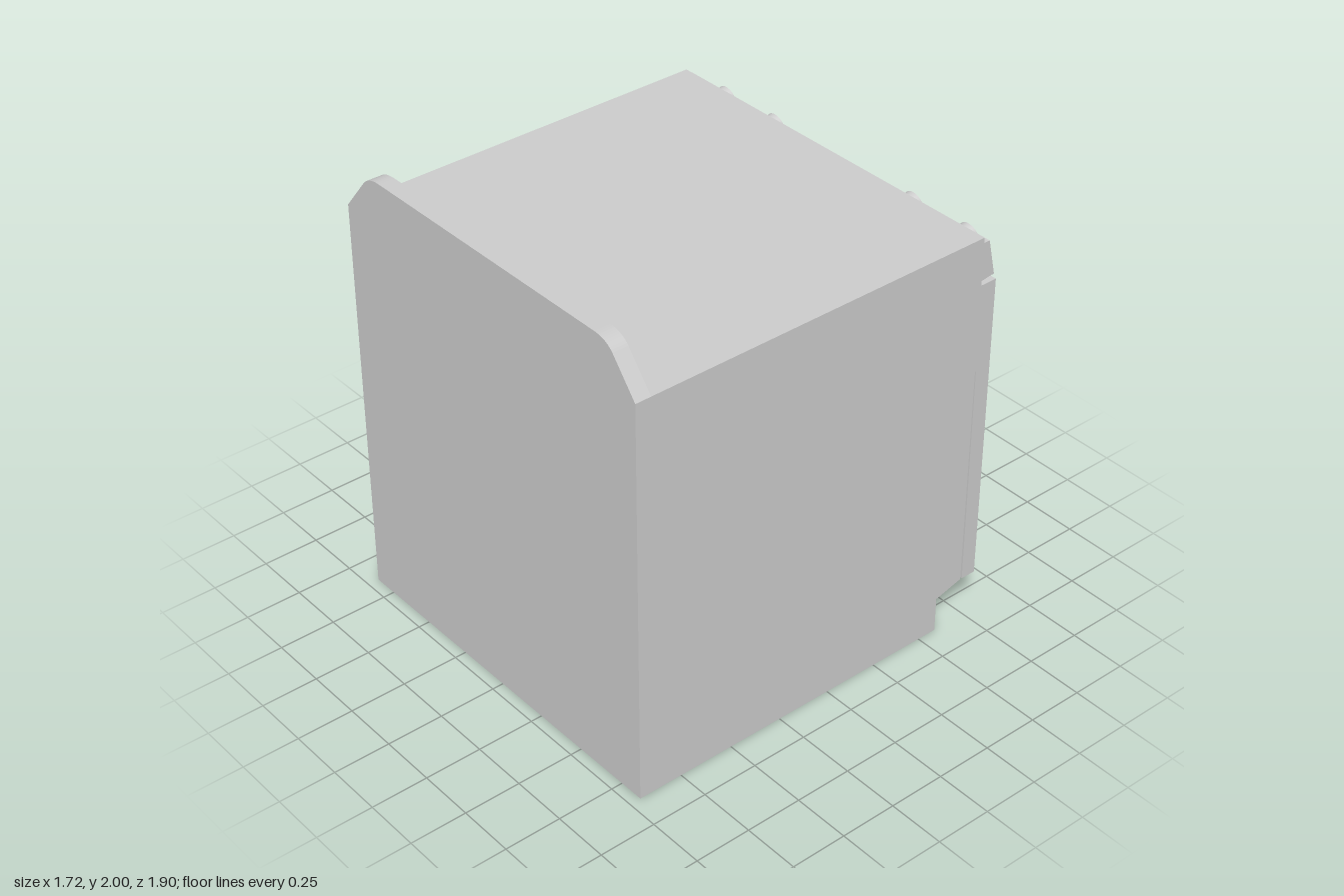
import * as THREE from 'three';
import { ParametricGeometry } from 'three/addons/geometries/ParametricGeometry.js';

const W = 0.86; // half width of the cabinet
const material = new THREE.MeshStandardMaterial({ color: 0xcccccc });

function part(name, geometry, parent) {
  const mesh = new THREE.Mesh(geometry, material);
  mesh.name = name;
  parent.add(mesh);
  return mesh;
}

// Side profile of [-z, y] points, extruded across the full width
function acrossWidth(points) {
  const shape = new THREE.Shape(points.map(([u, y]) => new THREE.Vector2(u, y)));
  const geometry = new THREE.ExtrudeGeometry(shape, { depth: 2 * W, bevelEnabled: false });
  return geometry.translate(0, 0, -W).rotateY(Math.PI / 2);
}

function rectangle(PathType, halfWidth, y0, y1) {
  const path = new PathType();
  path.moveTo(-halfWidth, y0).lineTo(halfWidth, y0).lineTo(halfWidth, y1).lineTo(-halfWidth, y1);
  path.closePath();
  return path;
}

// Thin full-width plate with a rectangular opening
function framePlate(y0, y1, holeHalfWidth, holeY0, holeY1, depth) {
  const shape = rectangle(THREE.Shape, W, y0, y1);
  shape.holes.push(rectangle(THREE.Path, holeHalfWidth, holeY0, holeY1));
  return new THREE.ExtrudeGeometry(shape, { depth, bevelEnabled: false });
}

export function createModel() {
  const oven = new THREE.Group();
  oven.name = 'oven';

  // Cabinet with toe kick
  part('cabinet', acrossWidth([
    [-0.95, 0], [0.59, 0], [0.59, 0.16], [0.722, 0.195], [0.722, 1.813], [-0.95, 1.813],
  ]), oven);

  // Backsplash with sloping, rounded shoulders
  const splash = new THREE.Shape();
  splash.moveTo(-W, 1.813).lineTo(W, 1.813).lineTo(0.74, 1.96);
  splash.quadraticCurveTo(0.705, 2, 0.64, 2);
  splash.lineTo(-0.64, 2);
  splash.quadraticCurveTo(-0.705, 2, -0.74, 1.96);
  splash.closePath();
  part('backsplash', new THREE.ExtrudeGeometry(splash, { depth: 0.07, bevelEnabled: false, curveSegments: 10 }), oven)
    .position.z = 0.88;

  // Door: core with a narrow gap behind it, and a frame around the sunken window
  const door = new THREE.Group();
  door.name = 'door';
  oven.add(door);
  part('doorCore', acrossWidth([
    [0.731, 0.195], [0.79, 0.195], [0.79, 1.602], [0.72, 1.602], [0.72, 1.21], [0.727, 1.21],
  ]), door);
  part('doorFrame', framePlate(0.195, 1.602, 0.645, 0.35, 1.21, 0.01), door).position.z = -0.8;

  // Bowed handle, thick where it meets the door
  const handle = new ParametricGeometry((u, v, target) => {
    const a = Math.PI * u;
    const b = 2 * Math.PI * v;
    const mix = 0.5 + 0.5 * Math.cos(b); // 0 inner curve, 1 outer curve
    const x = -Math.cos(a) * THREE.MathUtils.lerp(0.3, 0.49, mix);
    const z = -0.8 - Math.sin(a) * THREE.MathUtils.lerp(0.085, 0.15, mix);
    target.set(x, 1.415 - 0.052 * Math.sin(b), z);
  }, 32, 20);
  part('handle', handle, door);

  // Control panel, leaning back
  const controls = new THREE.Group();
  controls.name = 'controlPanel';
  oven.add(controls);
  part('panelCore', acrossWidth([
    [0.72, 1.622], [0.779, 1.63], [0.743, 1.79], [0.72, 1.79],
  ]), controls);
  const face = new THREE.Group();
  face.name = 'panelFace';
  face.position.set(0, 1.71, -0.769);
  face.rotation.x = Math.atan2(0.036, 0.16);
  controls.add(face);
  part('displayFrame', framePlate(-0.082, 0.082, 0.14, -0.048, 0.048, 0.008), face);

  // Four knobs
  for (const x of [-0.7, -0.4, 0.4, 0.7]) {
    const knob = new THREE.CylinderGeometry(0.05, 0.05, 0.05, 24).rotateX(Math.PI / 2);
    part('knob', knob, face).position.set(x, 0.004, -0.018);
  }

  return oven;
}
